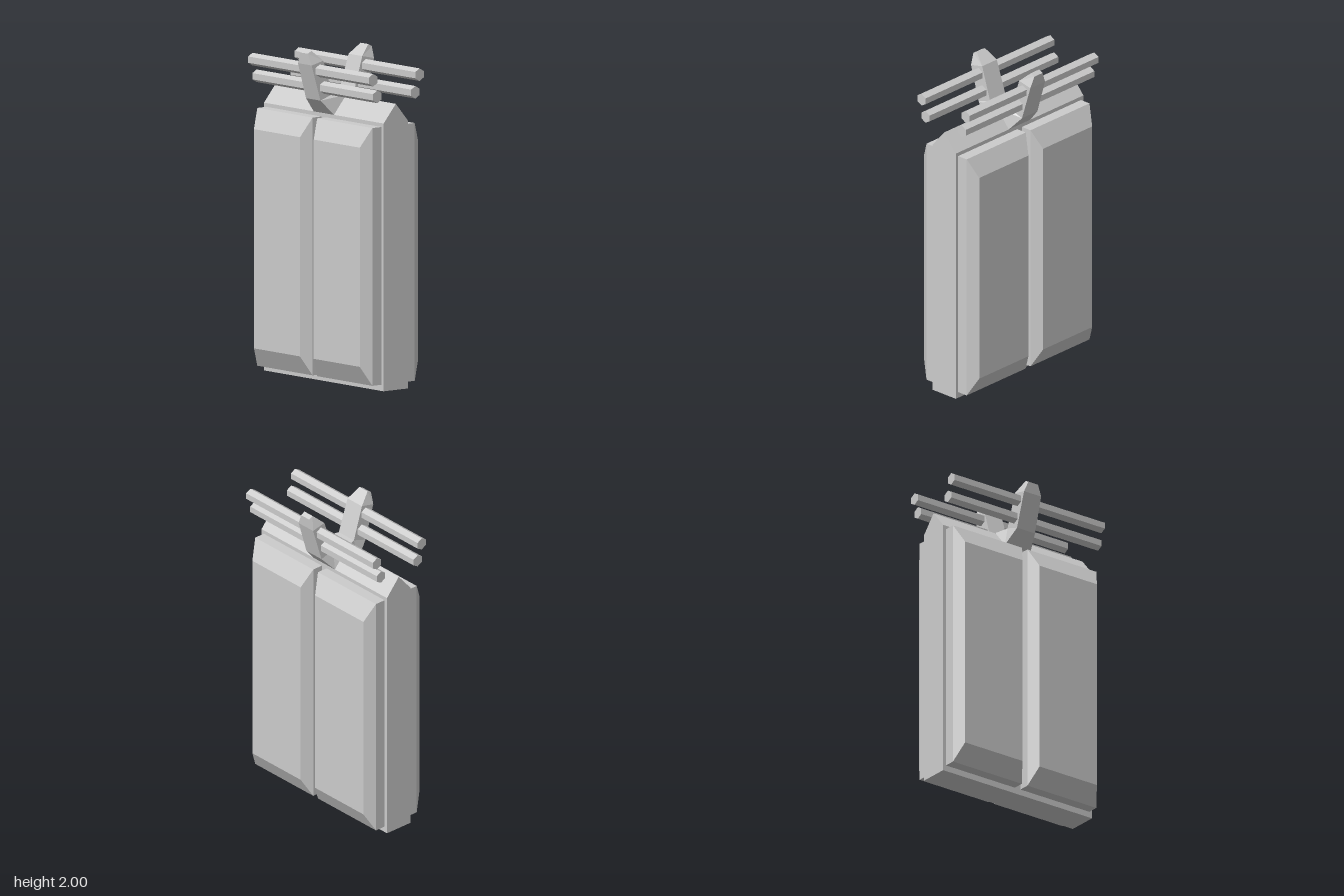
import * as THREE from 'three';

const grey = new THREE.MeshStandardMaterial({ color: 0xcccccc, flatShading: true });

function addMesh(parent, name, geometry) {
  const mesh = new THREE.Mesh(geometry, grey);
  mesh.name = name;
  parent.add(mesh);
  return mesh;
}

// Capped solid through four-cornered rings; side = -1 mirrors it across x
function loft(rings, side) {
  const pos = [];
  const tri = (a, b, c) => {
    for (const p of side > 0 ? [a, b, c] : [a, c, b]) pos.push(p[0] * side, p[1], p[2]);
  };
  const quad = (a, b, c, d) => { tri(a, b, c); tri(a, c, d); };
  for (let i = 0; i < rings.length - 1; i++) {
    for (let j = 0; j < 4; j++) {
      const k = (j + 1) % 4;
      quad(rings[i][j], rings[i][k], rings[i + 1][k], rings[i + 1][j]);
    }
  }
  quad(...[...rings[0]].reverse());
  quad(...rings[rings.length - 1]);
  const geometry = new THREE.BufferGeometry();
  geometry.setAttribute('position', new THREE.Float32BufferAttribute(pos, 3));
  geometry.computeVertexNormals();
  return geometry;
}

// Ring from a lower and an upper [x, y] point, spanning z0 to z1
const ring = ([x0, y0], [x1, y1], z0, z1) =>
  [[x0, y0, z1], [x0, y0, z0], [x1, y1, z0], [x1, y1, z1]];

export function createModel() {
  const model = new THREE.Group();
  model.name = 'panelledSlab';

  // Central slab with a gabled top
  const outline = new THREE.Shape(
    [[-0.094, 0], [0.094, 0], [0.094, 1.61], [0, 1.72], [-0.094, 1.61]].map(p => new THREE.Vector2(...p)));
  const slab = new THREE.ExtrudeGeometry(outline, { depth: 1.116, bevelEnabled: false });
  slab.translate(0, 0, -0.558);
  addMesh(model, 'coreSlab', slab);

  for (const side of [1, -1]) {
    const label = side > 0 ? 'left' : 'right';

    // Two bevelled panels on each broad face
    for (const c of [0.279, -0.279]) {
      const panelRing = (x, y0, y1, h) => ring([x, y0], [x, y1], c - h, c + h);
      addMesh(model, label + (c > 0 ? 'FrontPanel' : 'BackPanel'), loft([
        panelRing(0.08, 0.037, 1.587, 0.258),
        panelRing(0.163, 0.037, 1.587, 0.258),
        panelRing(0.225, 0.152, 1.47, 0.215),
      ], side));
    }

    // Forked arm rising from the ridge, tapered at its tip
    addMesh(model, label + 'Arm', loft([
      ring([0.094, 1.61], [0, 1.722], -0.095, 0.095),
      ring([0.176, 1.70], [0.083, 1.73], -0.067, 0.067),
      ring([0.241, 1.917], [0.15, 1.937], -0.064, 0.064),
      ring([0.247, 1.985], [0.22, 2.0], -0.036, 0.036),
    ], side));

    // Hexagonal rods running through the arm
    for (const [name, x, y] of [['UpperRod', 0.179, 1.879], ['LowerRod', 0.147, 1.776]]) {
      const rod = addMesh(model, label + name, new THREE.CylinderGeometry(0.038, 0.038, 1.126, 6));
      rod.rotation.x = Math.PI / 2;
      rod.position.set(x * side, y, 0);
    }
  }
  return model;
}
